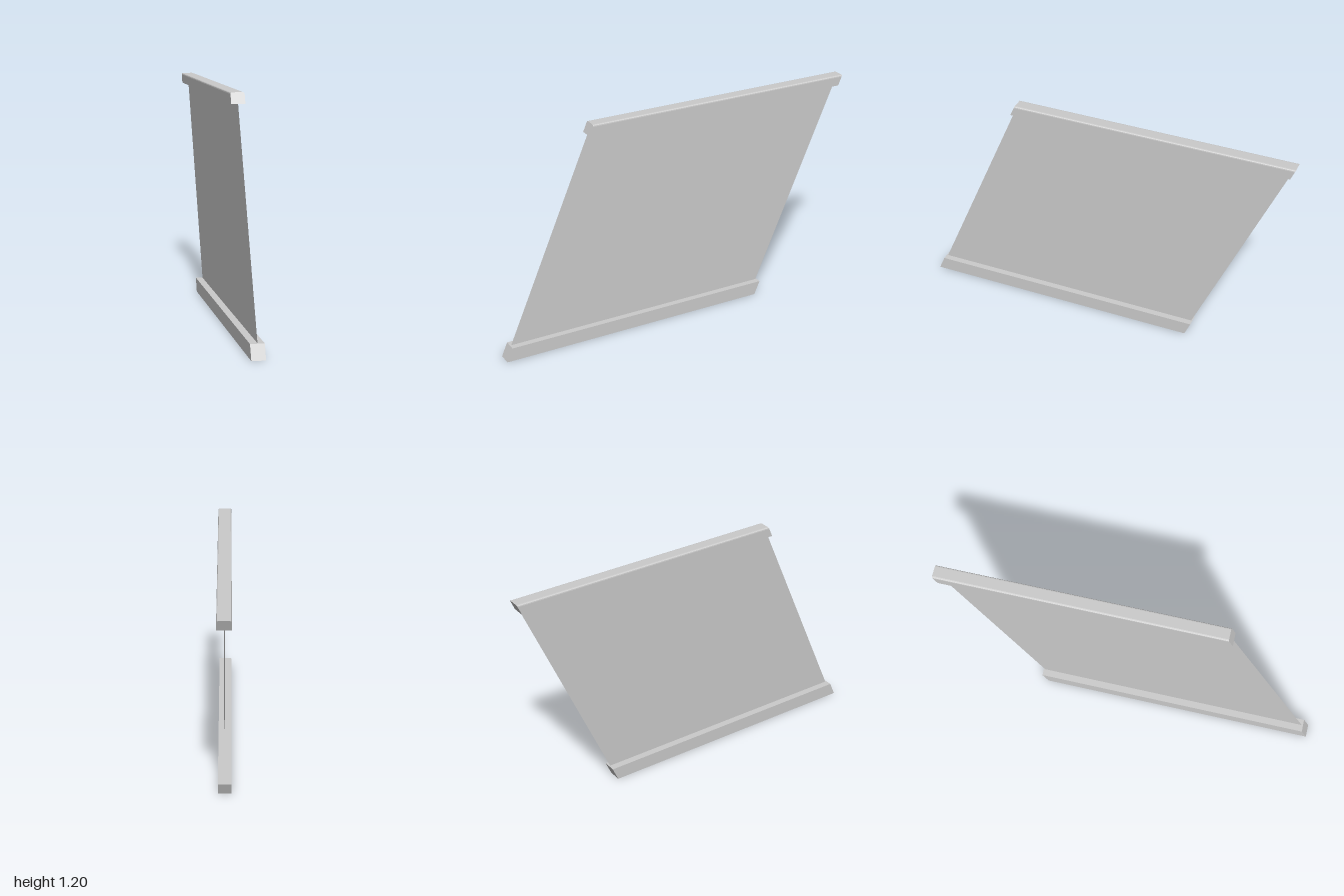
import * as THREE from 'three';

const SLOPE = 0.434; // backward lean per unit of height
const FRONT = 1, BACK = -0.48; // ends at ground level
const LENGTH = FRONT - BACK, MID = (FRONT + BACK) / 2;

// Slide every point back in proportion to its height.
function rake(geometry) {
  geometry.applyMatrix4(new THREE.Matrix4().set(
    1, 0, 0, 0,
    0, 1, 0, 0,
    0, -SLOPE, 1, 0,
    0, 0, 0, 1));
  geometry.computeVertexNormals();
  return geometry;
}

export function createModel() {
  const group = new THREE.Group();
  const material = new THREE.MeshStandardMaterial({ color: 0xcccccc, side: THREE.DoubleSide });
  const add = (name, geometry) => {
    const mesh = new THREE.Mesh(rake(geometry), material);
    mesh.name = name;
    group.add(mesh);
  };

  // Handrail: solid bar with softened upper corners
  const w = 0.035, y0 = 1.142, y1 = 1.197, r = 0.009;
  const section = new THREE.Shape();
  section.moveTo(-w, y0);
  section.lineTo(w, y0);
  section.lineTo(w, y1 - r);
  section.quadraticCurveTo(w, y1, w - r, y1);
  section.lineTo(-w + r, y1);
  section.quadraticCurveTo(-w, y1, -w, y1 - r);
  section.closePath();
  const rail = new THREE.ExtrudeGeometry(section, { depth: LENGTH, bevelEnabled: false, curveSegments: 3 });
  add('handrail', rail.translate(0, 0, BACK));

  // Base channel: box open underneath (the bottom face is indices 18 to 23)
  const channel = new THREE.BoxGeometry(0.07, 0.073, LENGTH);
  const index = Array.from(channel.index.array);
  index.splice(18, 6);
  channel.setIndex(index);
  channel.clearGroups();
  add('baseChannel', channel.translate(-0.002, 0.0365, MID));

  // Thin infill panel between channel and handrail
  const height = y0 - 0.073;
  const panel = new THREE.PlaneGeometry(LENGTH - 0.014, height).rotateY(Math.PI / 2);
  add('panel', panel.translate(0, 0.073 + height / 2, MID));

  return group;
}
